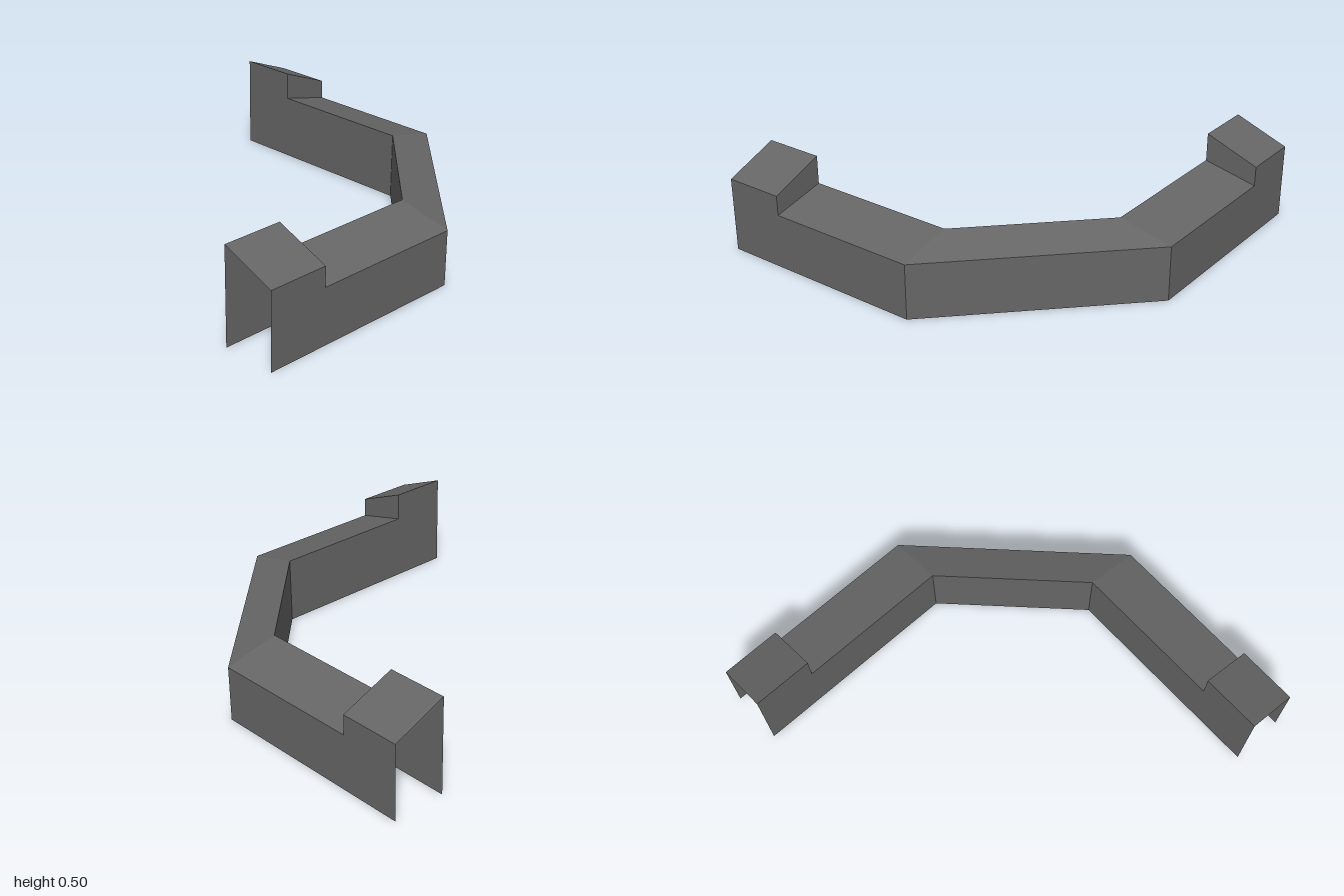
import * as THREE from 'three';

// Strip of flat quads between two polylines, with its front to the outside
function strip(name, low, high, material) {
  const pos = [];
  for (let i = 0; i < low.length - 1; i++) {
    const [a, b, c, d] = [low[i], low[i + 1], high[i + 1], high[i]];
    pos.push(...a, ...b, ...c, ...a, ...c, ...d);
  }
  const geometry = new THREE.BufferGeometry();
  geometry.setAttribute('position', new THREE.Float32BufferAttribute(pos, 3));
  geometry.computeVertexNormals();
  const mesh = new THREE.Mesh(geometry, material);
  mesh.name = name;
  return mesh;
}

export function createModel() {
  const grey = new THREE.MeshStandardMaterial({ color: 0x666666, side: THREE.DoubleSide });
  grey.name = 'dark grey';

  // Height of the [outer, inner] top edge: low run and raised end block
  const low = [0.287, 0.352], raised = [0.39, 0.5];
  const inner = 0.717, bend = 0.13, step = -0.68;

  // Stations along one arm, from its open end to the bend: [position, heights]
  const arm = [[-1, raised], [step, raised], [step, low], [bend, low]];

  // Front arm runs along x, side arm is its mirror across the diagonal
  const stations = [
    ...arm.map(([t, h]) => ({ out: [t, 1], in: [t, inner], h })),
    ...arm.slice().reverse().map(([t, h]) => ({ out: [1, t], in: [inner, t], h })),
  ];

  const edge = (key, height) => stations.map((s) => [s[key][0], height(s), s[key][1]]);
  const outerBottom = edge('out', () => 0);
  const outerTop = edge('out', (s) => s.h[0]);
  const innerTop = edge('in', (s) => s.h[1]);
  const innerBottom = edge('in', () => 0);

  // Split the walls per segment, with the step faces kept in the top strip
  const group = new THREE.Group();
  group.name = 'angledBarrier';
  group.add(
    strip('outerWall', outerBottom, outerTop, grey),
    strip('slopedTop', outerTop, innerTop, grey),
    strip('innerWall', innerTop, innerBottom, grey),
  );
  return group;
}
